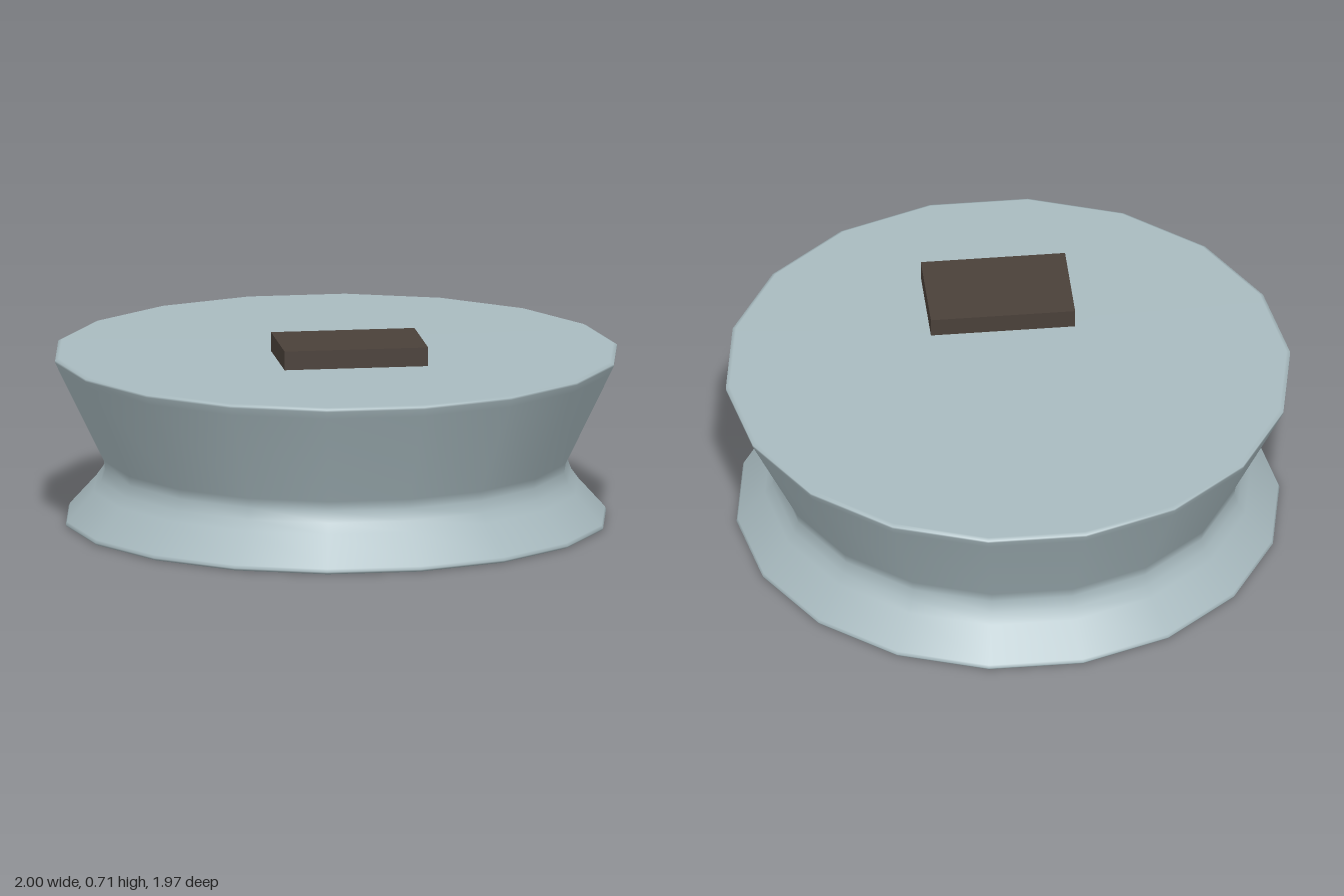
import * as THREE from 'three';

export function createModel() {
  const model = new THREE.Group();
  const paleSteel = new THREE.MeshStandardMaterial({ color: 0xa8babf });
  const darkBrown = new THREE.MeshStandardMaterial({ color: 0x4a4039 });

  // Waisted 18-sided drum: flared foot, narrow waist, wide top with small rim bevels
  const profile = [
    [0, 0], [0.948, 0], [0.957, 0.004], [0.96, 0.01], [0.955, 0.02],
    [0.86, 0.125], [0.835, 0.16], [0.82, 0.2], [0.825, 0.235],
    [0.985, 0.565], [0.998, 0.592], [0.998, 0.6], [0.985, 0.606], [0, 0.607],
  ].map(([r, y]) => new THREE.Vector2(r, y));
  const drum = new THREE.Mesh(new THREE.LatheGeometry(profile, 18, Math.PI / 2), paleSteel);
  drum.name = 'drum';

  // Small slab floating just above the top, toward the front
  const slab = new THREE.Mesh(new THREE.BoxGeometry(0.51, 0.067, 0.34), darkBrown);
  slab.name = 'topSlab';
  slab.position.set(0, 0.681, 0.336);

  model.add(drum, slab);
  return model;
}
